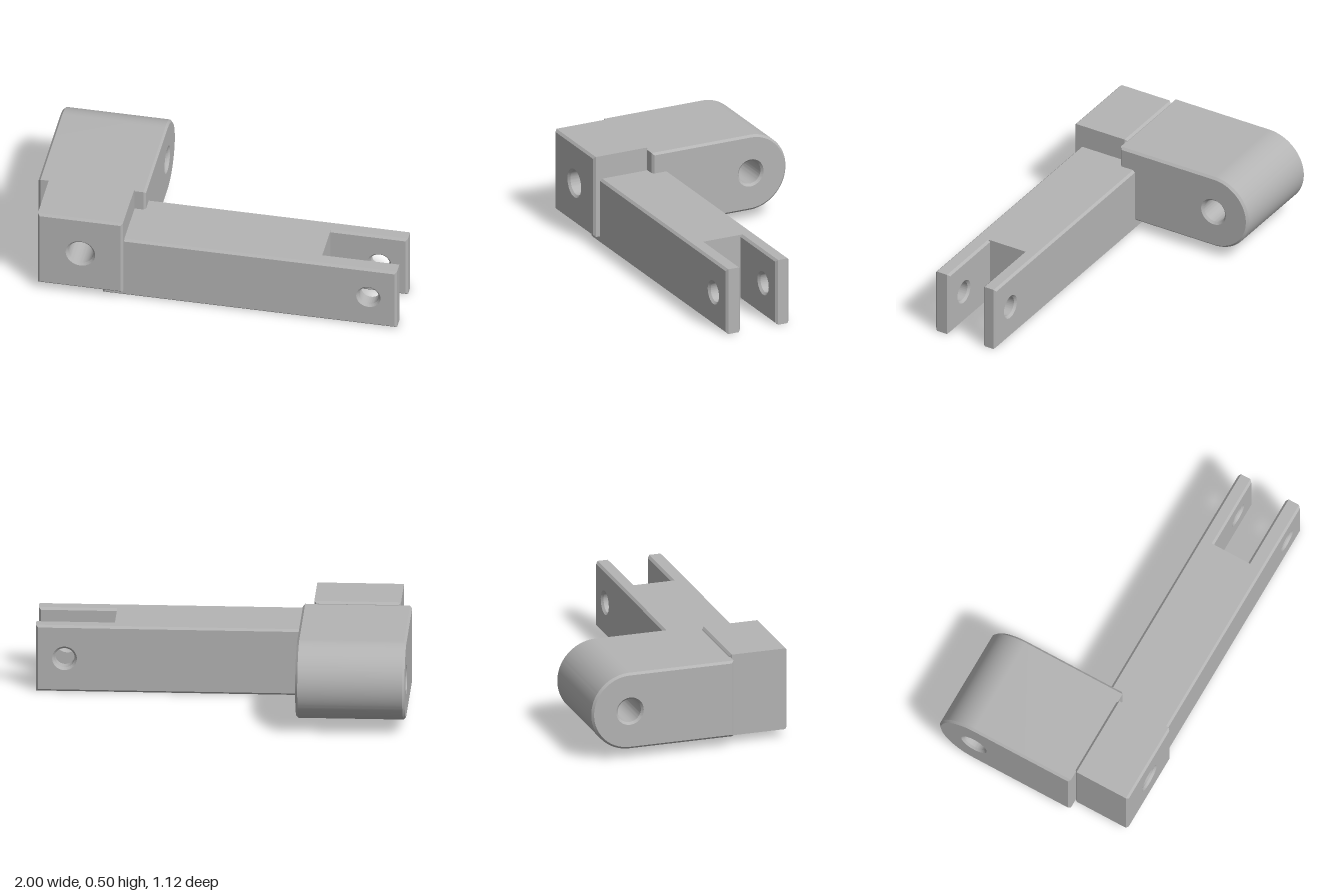
import * as THREE from 'three';
import { toCreasedNormals } from 'three/addons/utils/BufferGeometryUtils.js';

const BEVEL = 0.012;

// Rectangular outline
function rect(x0, x1, y0, y1) {
  const s = new THREE.Shape();
  s.moveTo(x0, y0);
  s.lineTo(x1, y0);
  s.lineTo(x1, y1);
  s.lineTo(x0, y1);
  s.closePath();
  return s;
}

function drill(shape, x, y, r) {
  const hole = new THREE.Path();
  hole.absarc(x, y, r, 0, Math.PI * 2, true);
  shape.holes.push(hole);
  return shape;
}

// Chamfered solid filling exactly from..to along the extrusion axis
function chamfered(shape, from, to) {
  const g = new THREE.ExtrudeGeometry(shape, {
    depth: to - from - 2 * BEVEL,
    bevelEnabled: true,
    bevelSegments: 1,
    bevelSize: BEVEL,
    bevelThickness: BEVEL,
    bevelOffset: -BEVEL,
    curveSegments: 32,
  });
  g.translate(0, 0, from + BEVEL);
  return toCreasedNormals(g, 0.5);
}

export function createModel() {
  const group = new THREE.Group();
  const steel = new THREE.MeshStandardMaterial({ color: 0xb4b4b4 });
  steel.name = 'grey steel';

  const add = (name, geometry) => {
    const mesh = new THREE.Mesh(geometry, steel);
    mesh.name = name;
    group.add(mesh);
  };

  // Long arm: solid core and two drilled fork prongs
  add('armCore', chamfered(rect(-0.595, 0.582, 0, 0.37), 0.145, 0.522));
  for (const [name, z0, z1] of [['backProng', 0.145, 0.225], ['frontProng', 0.435, 0.522]]) {
    add(name, chamfered(drill(rect(0.54, 1, 0, 0.37), 0.847, 0.187, 0.054), z0, z1));
  }

  // Head block with a blind hole that ends on the lug
  add('headBlock', chamfered(drill(rect(-0.94, -0.478, 0.043, 0.5), -0.707, 0.273, 0.068), 0.235, 0.56));

  // Rounded lug with a cross hole, outlined from the side and turned to run along x
  const cy = 0.271, cu = 0.345, r = 0.214;
  const side = new THREE.Shape();
  side.moveTo(-0.24, cy - r);
  side.lineTo(cu, cy - r);
  side.absarc(cu, cy, r, -Math.PI / 2, Math.PI / 2, false);
  side.lineTo(-0.24, cy + r);
  side.closePath();
  drill(side, cu, cy, 0.065);
  add('roundedLug', chamfered(side, -1, -0.418).rotateY(Math.PI / 2));

  return group;
}
